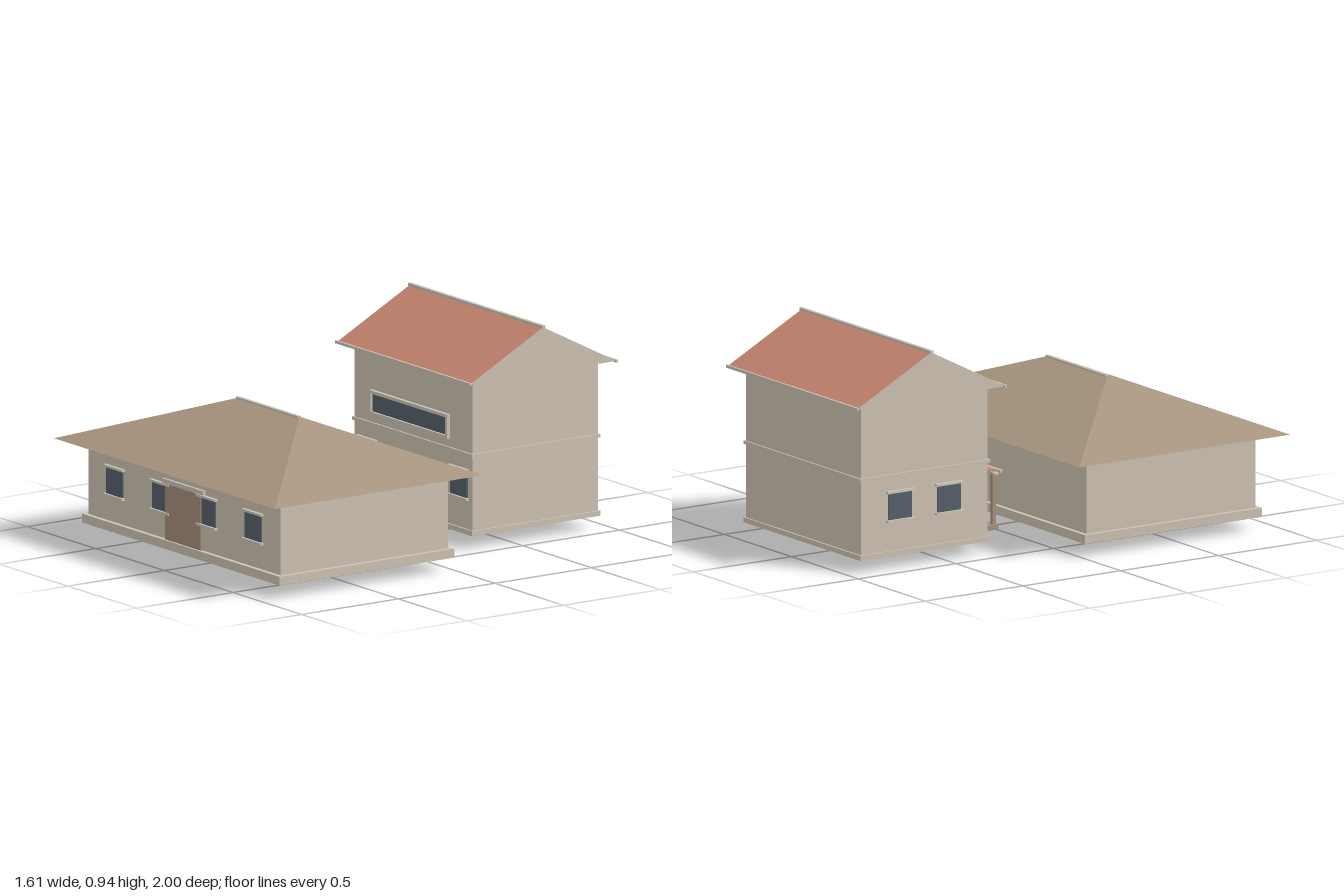
import * as THREE from 'three';
import { ConvexGeometry } from 'three/addons/geometries/ConvexGeometry.js';

const mat = (name, color) => {
  const m = new THREE.MeshStandardMaterial({ color });
  m.name = name;
  return m;
};

export function createModel() {
  const cream = mat('cream wall', 0xcdc2b2);
  const trim = mat('pale trim', 0xcbc4b7);
  const brown = mat('brown roof', 0xa8947e);
  const red = mat('red tile', 0xc4856e);
  const wood = mat('door wood', 0xa38f7b);
  const glass = mat('dark glass', 0x56606a);

  const model = new THREE.Group();
  const group = (name, parent = model) => {
    const g = new THREE.Group();
    g.name = name;
    parent.add(g);
    return g;
  };
  const add = (parent, name, geometry, material) => {
    const m = new THREE.Mesh(geometry, material);
    m.name = name;
    parent.add(m);
    return m;
  };
  // Box given by its limits on each axis
  const box = (parent, name, material, [x0, x1], [y0, y1], [z0, z1]) => {
    const g = new THREE.BoxGeometry(x1 - x0, y1 - y0, z1 - z0);
    g.translate((x0 + x1) / 2, (y0 + y1) / 2, (z0 + z1) / 2);
    return add(parent, name, g, material);
  };
  // Small window with cap and sill, facing local +z
  const addWindow = (parent, x, z, turn = 0) => {
    const w = group('window', parent);
    box(w, 'windowGlass', glass, [-0.06, 0.06], [0.215, 0.33], [0, 0.006]);
    box(w, 'windowCap', trim, [-0.07, 0.07], [0.33, 0.34], [0, 0.016]);
    box(w, 'windowSill', trim, [-0.07, 0.07], [0.205, 0.215], [0, 0.016]);
    w.position.set(x, 0, z);
    w.rotation.y = turn;
  };

  // Front house: walls, plinth, eave band
  const front = group('frontHouse');
  box(front, 'walls', cream, [-0.7, 0.7], [0.065, 0.4], [0.03, 0.895]);
  box(front, 'plinth', cream, [-0.72, 0.72], [0.06, 0.098], [0.01, 0.915]);
  box(front, 'eaveBand', cream, [-0.72, 0.72], [0.397, 0.422], [0.01, 0.915]);

  // Hipped roof and ridge cap
  const hip = [];
  for (const s of [-1, 1]) {
    hip.push(new THREE.Vector3(s * 0.805, 0.42, -0.078));
    hip.push(new THREE.Vector3(s * 0.805, 0.42, 1));
    hip.push(new THREE.Vector3(s * 0.225, 0.633, 0.461));
  }
  add(front, 'hippedRoof', new ConvexGeometry(hip), brown);
  box(front, 'ridgeCap', trim, [-0.225, 0.225], [0.627, 0.639], [0.453, 0.469]);

  // Front windows, door and lintel
  for (const x of [-0.505, -0.17, 0.17, 0.505]) addWindow(front, x, 0.895);
  box(front, 'door', wood, [-0.13, 0.13], [0.098, 0.34], [0.895, 0.905]);
  box(front, 'doorLintel', trim, [-0.15, 0.15], [0.34, 0.36], [0.895, 0.907]);

  // Rear house: two storeys with bands
  const rear = group('rearHouse');
  box(rear, 'walls', cream, [-0.43, 0.43], [0.06, 0.732], [-0.938, -0.29]);
  for (const [name, y0, y1] of [['baseBand', 0.058, 0.08], ['floorBand', 0.398, 0.412], ['topBand', 0.718, 0.731]]) {
    box(rear, name, cream, [-0.438, 0.438], [y0, y1], [-0.946, -0.282]);
  }

  // Gabled roof: pale gable ends, tiled slopes and underside
  const gable = new THREE.Shape([
    new THREE.Vector2(0.237, 0.731),
    new THREE.Vector2(0.995, 0.731),
    new THREE.Vector2(0.616, 0.928),
  ]);
  const gableGeo = new THREE.ExtrudeGeometry(gable, { depth: 0.97, bevelEnabled: false });
  gableGeo.rotateY(Math.PI / 2).translate(-0.485, 0, 0);
  add(rear, 'gabledRoof', gableGeo, [cream, red]);
  for (const [name, y, z] of [['frontEave', 0.731, -0.237], ['backEave', 0.731, -0.995], ['ridgeCap', 0.93, -0.616]]) {
    const half = name === 'ridgeCap' ? 0.008 : 0.005;
    box(rear, name, trim, [-0.49, 0.49], [y - 0.006, y + 0.006], [z - half, z + half]);
  }

  // Wide upper window with projecting frame
  const wide = group('upperWindow', rear);
  box(wide, 'upperGlass', glass, [-0.27, 0.27], [0.467, 0.545], [-0.276, -0.27]);
  for (const y of [0.453, 0.545]) {
    box(wide, 'frameRail', trim, [-0.285, 0.285], [y, y + 0.014], [-0.276, -0.26]);
  }
  for (const s of [-1, 1]) {
    box(wide, 'frameStile', trim, [s * 0.278 - 0.007, s * 0.278 + 0.007], [0.453, 0.559], [-0.276, -0.26]);
  }

  // Ground floor windows and rear house door
  for (const x of [-0.335, 0.335]) addWindow(rear, x, -0.29);
  for (const z of [-0.74, -0.49]) addWindow(rear, -0.43, z, -Math.PI / 2);
  box(rear, 'rearDoor', wood, [-0.075, 0.075], [0.08, 0.3], [-0.29, -0.282]);

  // Porch: deck, posts, sloping roof and steps
  const porch = group('porch', rear);
  box(porch, 'deck', wood, [-0.27, 0.27], [0.055, 0.076], [-0.29, -0.125]);
  for (const s of [-1, 1]) {
    box(porch, 'post', wood, [s * 0.25 - 0.008, s * 0.25 + 0.008], [0.076, 0.295], [-0.147, -0.131]);
  }
  box(porch, 'beam', trim, [-0.27, 0.27], [0.292, 0.302], [-0.147, -0.122]);
  box(porch, 'porchEave', trim, [-0.275, 0.275], [0.3, 0.312], [-0.122, -0.108]);
  const slope = new ConvexGeometry([-0.27, 0.27].flatMap((x) => [
    new THREE.Vector3(x, 0.335, -0.29), new THREE.Vector3(x, 0.329, -0.29),
    new THREE.Vector3(x, 0.311, -0.118), new THREE.Vector3(x, 0.305, -0.118),
  ]));
  add(porch, 'porchRoof', slope, red);
  box(porch, 'upperStep', trim, [-0.075, 0.075], [0.025, 0.055], [-0.127, -0.062]);
  box(porch, 'lowerStep', trim, [-0.075, 0.075], [0, 0.025], [-0.093, -0.045]);

  return model;
}
